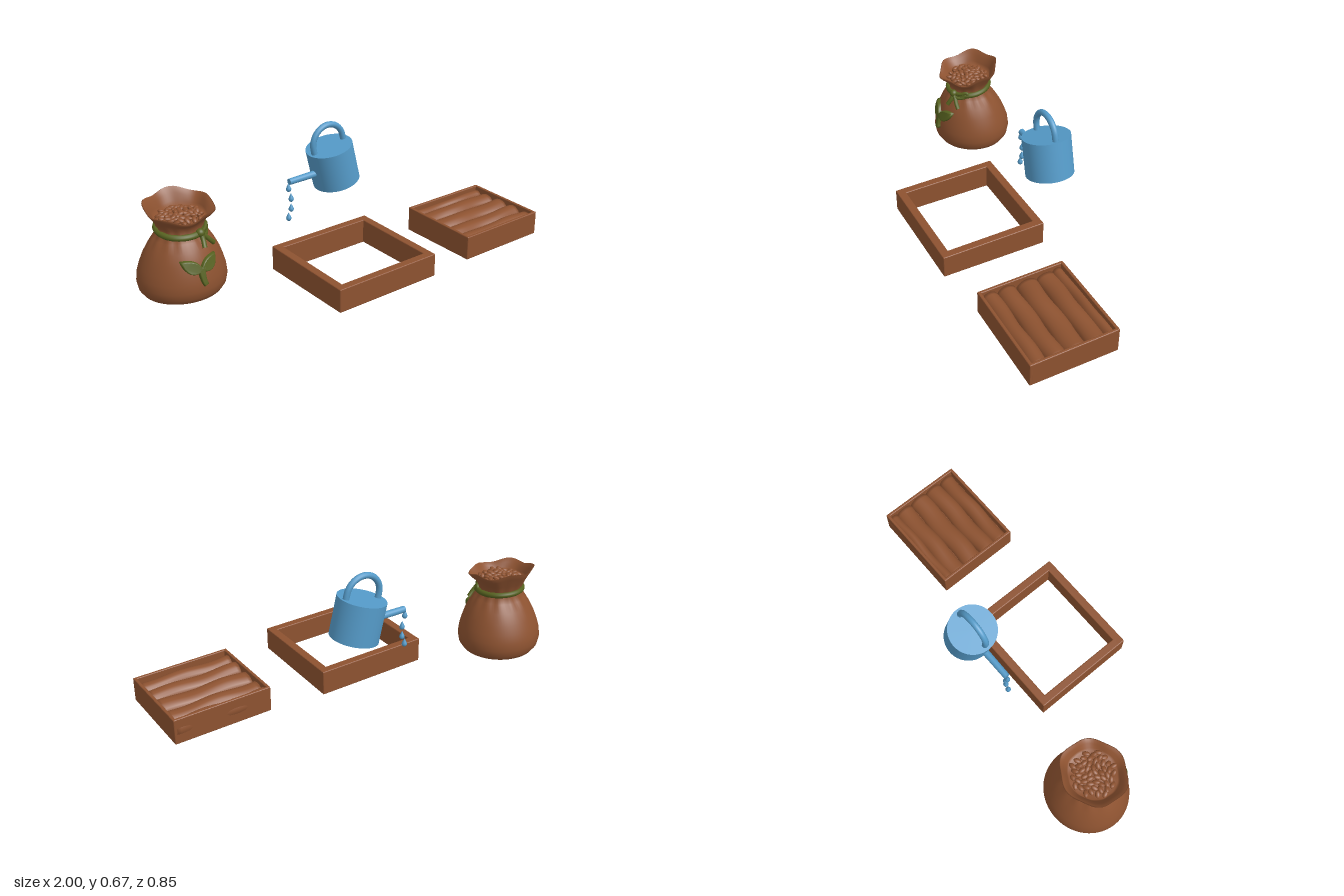
import * as THREE from 'three';
import { mergeVertices } from 'three/addons/utils/BufferGeometryUtils.js';
import { RoundedBoxGeometry } from 'three/addons/geometries/RoundedBoxGeometry.js';

const material = (name, color) => Object.assign(new THREE.MeshStandardMaterial({ color }), { name });

function add(parent, name, geometry, mat) {
  const mesh = new THREE.Mesh(geometry, mat);
  mesh.name = name;
  parent.add(mesh);
  return mesh;
}

// Move every vertex by a rule, then smooth the normals across seams
function deform(geometry, rule, weld = true) {
  const p = geometry.attributes.position;
  const v = new THREE.Vector3();
  for (let i = 0; i < p.count; i++) {
    rule(v.fromBufferAttribute(p, i));
    p.setXYZ(i, v.x, v.y, v.z);
  }
  if (weld) {
    geometry.deleteAttribute('normal');
    geometry.deleteAttribute('uv');
    geometry = mergeVertices(geometry, 1e-5);
  }
  geometry.computeVertexNormals();
  return geometry;
}

const tube = (points, radius, segments = 24, sides = 10) => new THREE.TubeGeometry(
  new THREE.CatmullRomCurve3(points.map(p => new THREE.Vector3(...p))), segments, radius, sides);

// Outer sack profile as [radius, height]
const OUTER = [[0.165, 0.025], [0.192, 0.032], [0.208, 0.055], [0.215, 0.09], [0.211, 0.13], [0.2, 0.17],
  [0.182, 0.22], [0.158, 0.268], [0.13, 0.31], [0.108, 0.34], [0.112, 0.37], [0.128, 0.4], [0.15, 0.43], [0.163, 0.45]];
const INNER = [[0.158, 0.453], [0.142, 0.432], [0.126, 0.41], [0.117, 0.393], [0.06, 0.398], [0, 0.4]];

const lean = y => 0.015 * THREE.MathUtils.smoothstep(y, 0.1, 0.34);

// Depth of the sack's front surface at (x, y)
function sackFront(x, y) {
  const i = Math.max(1, OUTER.findIndex(p => p[1] >= y));
  const [r0, y0] = OUTER[i - 1], [r1, y1] = OUTER[i];
  const r = THREE.MathUtils.mapLinear(y, y0, y1, r0, r1);
  return 0.95 * Math.sqrt(Math.max(0, r * r - x * x)) + lean(y);
}

function createSack(brown, green) {
  const sack = new THREE.Group();
  sack.name = 'seedSack';
  sack.position.set(-0.784, 0, -0.22);

  // Cloth: gathered at the neck, wavy at the tilted lip
  const profile = [[0, 0.025], ...OUTER, ...INNER].map(p => new THREE.Vector2(...p));
  add(sack, 'sackCloth', deform(new THREE.LatheGeometry(profile, 72), v => {
    const a = Math.atan2(v.x, v.z);
    const gather = Math.exp(-(((v.y - 0.34) / 0.045) ** 2));
    const lip = THREE.MathUtils.smoothstep(v.y, 0.37, 0.45);
    const k = 1 + 0.035 * gather * Math.cos(13 * a) + 0.035 * lip * Math.cos(6 * a + 0.5);
    const h = v.y;
    v.y += lip * (0.008 * Math.sin(5 * a) - 0.17 * v.z);
    v.x *= k;
    v.z = v.z * k * 0.95 + lean(h);
  }), brown);

  // Seeds heaped in a spiral
  const seeds = new THREE.Group();
  seeds.name = 'seeds';
  sack.add(seeds);
  const seedShape = new THREE.SphereGeometry(1, 10, 8);
  for (let i = 0; i < 52; i++) {
    const a = i * 2.4, r = 0.108 * Math.sqrt((i + 0.3) / 52);
    const seed = add(seeds, 'seed', seedShape, brown);
    seed.scale.set(0.02, 0.01, 0.012);
    seed.position.set(r * Math.sin(a), 0.412 - 0.9 * r * r, 0.018 + 0.95 * r * Math.cos(a));
    seed.rotation.set(0.3 * Math.sin(i * 3), i * 1.9, 0.35 * Math.cos(i * 5));
  }

  // Cord, dipping at the front
  const cord = new THREE.TorusGeometry(0.113, 0.0145, 12, 56).rotateX(Math.PI / 2);
  add(sack, 'cord', deform(cord, v => {
    v.y += 0.347 - 0.1 * v.z;
    v.z = v.z * 0.97 + 0.015;
  }), green);

  // Knot, small loop and two hanging tails
  const knot = add(sack, 'knot', new THREE.SphereGeometry(0.021, 16, 12), green);
  knot.position.set(0.042, 0.342, 0.124);
  const hanging = [
    [[0.042, 0.34], [0.046, 0.315], [0.04, 0.28]],
    [[0.045, 0.34], [0.07, 0.315], [0.085, 0.298], [0.106, 0.276]],
    [[0.045, 0.342], [0.08, 0.348], [0.1, 0.358], [0.104, 0.342], [0.075, 0.325], [0.045, 0.338]],
  ];
  hanging.forEach((path, i) => add(sack, i < 2 ? 'cordTail' : 'cordLoop',
    tube(path.map(([x, y]) => [x, y, sackFront(x, Math.min(y, 0.335)) + 0.012]), i < 2 ? 0.0115 : 0.009), green));

  // Sprout emblem wrapped onto the cloth
  const leaf = side => {
    const s = new THREE.Shape();
    s.moveTo(0, 0.197);
    s.bezierCurveTo(side * 0.015, 0.23, side * 0.04, 0.243, side * 0.084, 0.24);
    s.bezierCurveTo(side * 0.078, 0.195, side * 0.045, 0.172, 0, 0.197);
    return s;
  };
  const stem = new THREE.Shape();
  stem.moveTo(-0.012, 0.205);
  stem.lineTo(0.012, 0.205);
  stem.quadraticCurveTo(0.002, 0.165, 0.014, 0.13);
  stem.lineTo(0, 0.125);
  stem.quadraticCurveTo(-0.016, 0.16, -0.012, 0.205);
  for (const [name, shape] of [['leafLeft', leaf(1)], ['leafRight', leaf(-1)], ['sproutStem', stem]]) {
    const g = new THREE.ExtrudeGeometry(shape, { depth: 0.012, bevelThickness: 0.007, bevelSize: 0.005,
      bevelSegments: 3, curveSegments: 12 });
    add(sack, name, deform(g, v => { v.z += sackFront(v.x, v.y); }), green);
  }
  return sack;
}

// Four boards around a rectangle, the top edge sloping a little to the front
function boardFrame(name, [x0, x1], [z0, z1], [y0, y1], wall, mat) {
  const frame = new THREE.Group();
  frame.name = name;
  const board = (label, ax, bx, az, bz) => {
    const g = new RoundedBoxGeometry(bx - ax, y1 - y0, bz - az, 2, 0.005);
    g.translate((ax + bx) / 2, (y0 + y1) / 2, (az + bz) / 2);
    add(frame, label, deform(g, v => {
      if (v.y > (y0 + y1) / 2) v.y -= 0.015 * (v.z - (z0 + z1) / 2);
    }, false), mat);
  };
  board('frontBoard', x0, x1, z1 - wall, z1);
  board('backBoard', x0, x1, z0, z0 + wall);
  board('rightBoard', x0, x0 + wall, z0 + wall / 2, z1 - wall / 2);
  board('leftBoard', x1 - wall, x1, z0 + wall / 2, z1 - wall / 2);
  return frame;
}

function createPlanter(brown) {
  const planter = boardFrame('planter', [0.5, 1], [-0.065, 0.382], [0, 0.128], 0.016, brown);
  const soil = add(planter, 'soilBed', new THREE.BoxGeometry(0.48, 0.07, 0.43), brown);
  soil.position.set(0.75, 0.036, 0.1585);
  // Wavy ridges of soil
  const rows = [[-0.032, 0.032], [0.034, 0.051], [0.136, 0.056], [0.237, 0.05], [0.324, 0.043]];
  rows.forEach(([z, r], i) => {
    const g = new THREE.CylinderGeometry(1, 1, 0.472, 20, 24).rotateZ(Math.PI / 2);
    add(planter, 'soilRow', deform(g, v => {
      v.z = z + r * v.z + 0.004 * Math.sin(v.x * 22 + i * 2);
      v.y = 0.067 + v.y * (0.045 + 0.004 * Math.sin(v.x * 17 + i * 1.7));
      v.x += 0.75;
    }), brown);
  });
  return planter;
}

function createWateringCan(blue) {
  const watering = new THREE.Group();
  watering.name = 'watering';
  watering.position.z = -0.205;

  // Tipped can with an arched handle
  const can = new THREE.Group();
  can.name = 'wateringCan';
  can.position.set(0.1, 0.44, 0);
  can.rotation.z = 0.235;
  watering.add(can);
  add(can, 'canBody', new THREE.CylinderGeometry(0.12, 0.12, 0.2, 48), blue);
  const arch = [[0.092, 0.08, 0]];
  for (let i = 0; i <= 12; i++) {
    const a = i * Math.PI / 12;
    arch.push([0.092 * Math.cos(a), 0.122 + 0.092 * Math.sin(a), 0]);
  }
  arch.push([-0.092, 0.08, 0]);
  add(can, 'handle', tube(arch, 0.0155, 40, 12), blue);

  // Level spout
  const spout = add(watering, 'spout', new THREE.CylinderGeometry(0.016, 0.018, 0.2, 20), blue);
  spout.rotation.z = Math.PI / 2 + 0.02;
  spout.position.set(-0.07, 0.408, 0);

  // Falling drops
  const drop = new THREE.LatheGeometry([[0, 0], [0.007, 0.002], [0.012, 0.008], [0.0135, 0.015], [0.011, 0.023],
    [0.006, 0.033], [0.002, 0.042], [0, 0.047]].map(p => new THREE.Vector2(...p)), 20);
  for (const [x, y] of [[-0.177, 0.197], [-0.161, 0.243], [-0.16, 0.297], [-0.174, 0.354]])
    add(watering, 'waterDrop', drop, blue).position.set(x, y, 0);
  return watering;
}

export function createModel() {
  const brown = material('earthBrown', 0x8d5230);
  const green = material('leafGreen', 0x56611f);
  const blue = material('canBlue', 0x559bc9);
  const model = new THREE.Group();
  model.name = 'gardenSet';
  model.add(
    createSack(brown, green),
    boardFrame('bedFrame', [-0.343, 0.237], [-0.114, 0.426], [0.016, 0.139], 0.042, brown),
    createPlanter(brown),
    createWateringCan(blue));
  return model;
}
